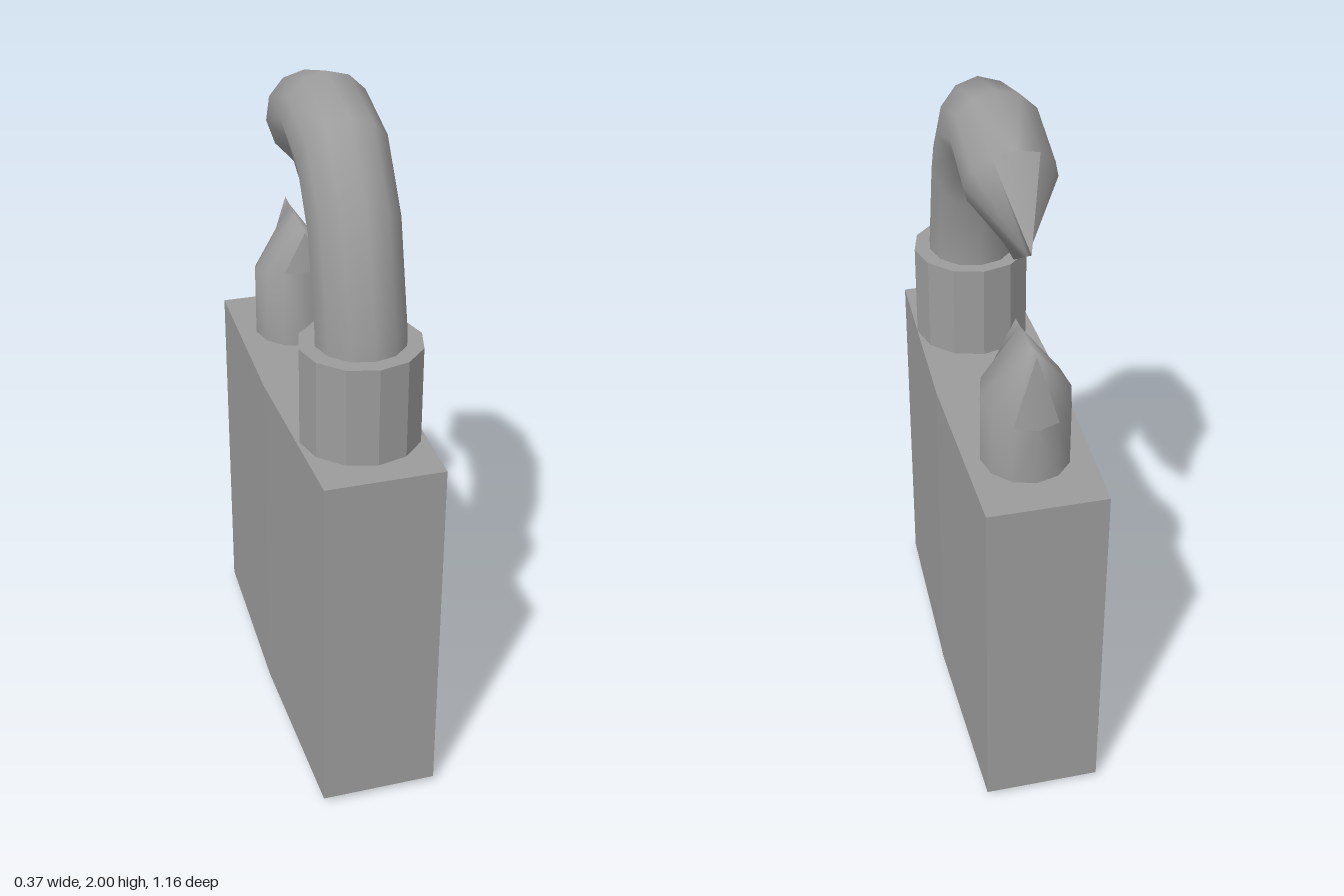
import * as THREE from 'three';
import { mergeGeometries, toCreasedNormals } from 'three/addons/utils/BufferGeometryUtils.js';

const SIDES = 12;
const BAR_RADIUS = 0.125;
const GREY = 0x9c9c9c;

// Lofts a round bar through rings given as [outer z, outer y, inner z, inner y];
// the last ring is pinched flat into a chisel edge, as left by bolt cutters.
function pinchedBar(rings) {
  const points = rings.map(([oz, oy, iz, iy], i) => {
    const last = i === rings.length - 1;
    return Array.from({ length: SIDES }, (_, j) => {
      const a = (j / SIDES) * Math.PI * 2;
      const c = last ? THREE.MathUtils.clamp(Math.cos(a) / 0.86, -1, 1) : Math.cos(a);
      return new THREE.Vector3(
        last ? 0 : BAR_RADIUS * Math.sin(a),
        (oy + iy) / 2 + ((oy - iy) / 2) * c,
        (oz + iz) / 2 + ((oz - iz) / 2) * c
      );
    });
  });
  // Faces meeting at the ends of the chisel edge are kept apart as sharp facets
  const sides = [];
  const tips = [];
  for (let i = 0; i < points.length - 1; i++) {
    for (let j = 0; j < SIDES; j++) {
      const k = (j + 1) % SIDES;
      const [a, b, c, d] = [points[i][j], points[i][k], points[i + 1][k], points[i + 1][j]];
      if (c.distanceTo(d) < 1e-6) tips.push(a, b, c);
      else if (a.distanceTo(c) < b.distanceTo(d)) sides.push(a, b, c, a, c, d);
      else sides.push(a, b, d, b, c, d);
    }
  }
  return mergeGeometries([sides, tips].map((corners) =>
    toCreasedNormals(new THREE.BufferGeometry().setFromPoints(corners), Math.PI)));
}

export function createModel() {
  const group = new THREE.Group();
  const smooth = new THREE.MeshStandardMaterial({ color: GREY, side: THREE.DoubleSide });
  const flat = new THREE.MeshStandardMaterial({ color: GREY, flatShading: true });
  const add = (name, geometry, material, x = 0, y = 0, z = 0) => {
    const mesh = new THREE.Mesh(geometry, material);
    mesh.name = name;
    mesh.position.set(x, y, z);
    group.add(mesh);
  };

  // Lock body: slab with slightly bowed broad sides
  const outline = new THREE.Shape([
    [0.168, -0.58], [0.183, 0], [0.168, 0.58],
    [-0.168, 0.58], [-0.183, 0], [-0.168, -0.58],
  ].map(([x, y]) => new THREE.Vector2(x, y)));
  const body = new THREE.ExtrudeGeometry(outline, { depth: 1.068, bevelEnabled: false });
  body.rotateX(-Math.PI / 2);
  add('body', body, flat, 0, 0.02, 0);

  // Collar around the long leg of the shackle
  add('collar', new THREE.CylinderGeometry(0.17, 0.17, 0.29, SIDES), flat, 0.004, 1.227, 0.332);

  // Long shackle piece, rising from the collar and bending over to the cut
  add('shackle', pinchedBar([
    [0.455, 1.2, 0.205, 1.2],
    [0.455, 1.43, 0.2, 1.38],
    [0.37, 1.75, 0.16, 1.58],
    [0.225, 1.945, 0.1, 1.69],
    [0, 2, 0, 1.765],
    [-0.22, 1.937, -0.1, 1.71],
    [-0.379, 1.73, -0.196, 1.615],
  ]), smooth, 0.004);

  // Short stub left standing on the other side of the cut
  add('shackleStub', pinchedBar([
    [-0.205, 1.07, -0.472, 1.07],
    [-0.207, 1.33, -0.472, 1.26],
    [-0.222, 1.45, -0.448, 1.475],
  ]), smooth, 0.004);

  // Key plug and keyway on the underside
  add('keyPlug', new THREE.CylinderGeometry(0.122, 0.122, 0.02, 20), flat, -0.002, 0.024, 0.01);
  add('keyway', new THREE.BoxGeometry(0.03, 0.02, 0.21), flat, -0.003, 0.01, 0.01);

  return group;
}
